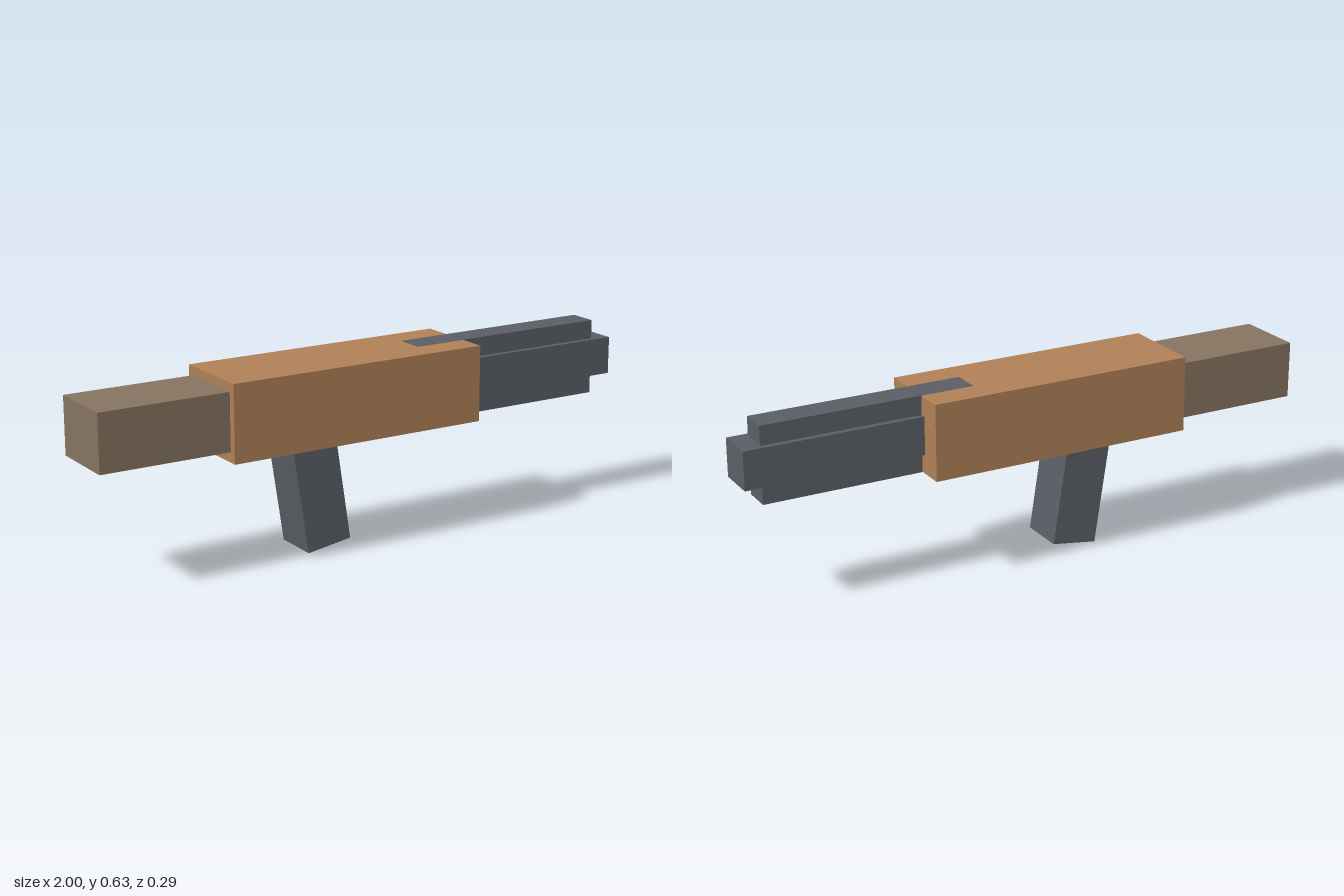
import * as THREE from 'three';

const metal = new THREE.MeshStandardMaterial({ color: 0x5a5e64 });
const wood = new THREE.MeshStandardMaterial({ color: 0xb08058 });
const darkWood = new THREE.MeshStandardMaterial({ color: 0x857360 });

// Box named after its part, given by its size and centre
function box(name, size, centre, material) {
  const mesh = new THREE.Mesh(new THREE.BoxGeometry(...size), material);
  mesh.name = name;
  mesh.position.set(...centre);
  return mesh;
}

export function createModel() {
  const model = new THREE.Group();
  model.name = 'toyBlaster';

  // Receiver and the stock behind it
  model.add(box('body', [0.935, 0.26, 0.294], [-0.0825, 0.5, 0], wood));
  model.add(box('stock', [0.47, 0.195, 0.244], [-0.765, 0.502, 0], darkWood));

  // Barrel with a thin, tall rail running through it; the rail shows flush in the body
  model.add(box('barrel', [0.8, 0.13, 0.137], [0.6, 0.5, 0], metal));
  model.add(box('rail', [0.735, 0.261, 0.098], [0.5675, 0.5, 0], metal));

  // Slanted grip, its top end sunk into the body
  const grip = box('grip', [0.162, 0.42, 0.162], [-0.196, 0.22, 0], metal);
  grip.rotation.z = 0.15;
  model.add(grip);

  return model;
}
